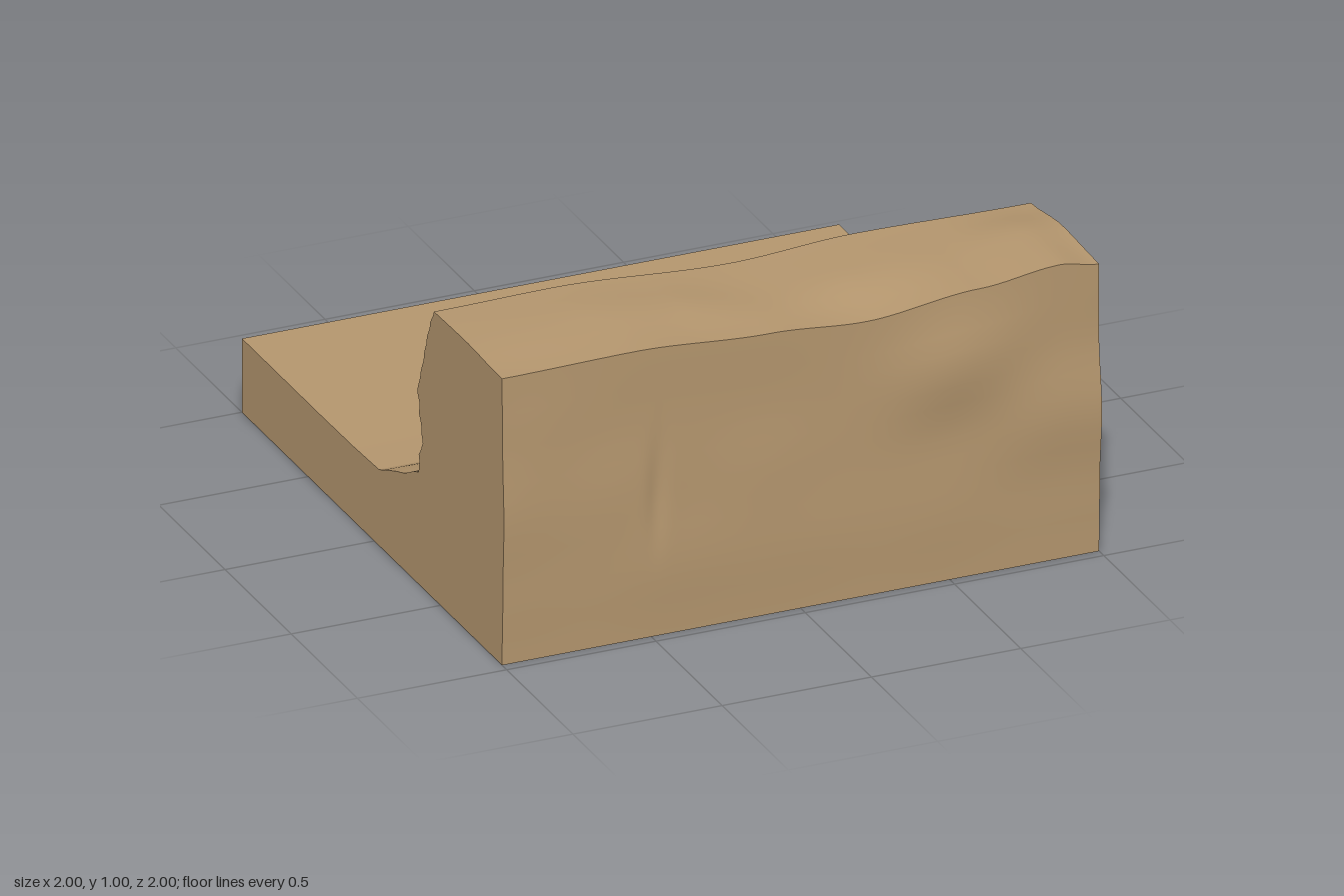
import * as THREE from 'three';

const COLS = 140;
const smooth = (t) => t * t * (3 - 2 * t);
const clamp01 = (t) => Math.min(1, Math.max(0, t));

// Smooth interpolation through a few [position, value] pairs
function curve(pairs, t) {
  if (t <= pairs[0][0]) return pairs[0][1];
  for (let i = 1; i < pairs.length; i++) {
    const [a, va] = pairs[i - 1], [b, vb] = pairs[i];
    if (t <= b) return va + (vb - va) * smooth((t - a) / (b - a));
  }
  return pairs[pairs.length - 1][1];
}
const bump = (t, centre, width) => Math.exp(-(((t - centre) / width) ** 2));
const window01 = (t, a, b, soft) =>
  smooth(clamp01((t - a) / soft)) * smooth(clamp01((b - t) / soft));
// Slow layered ripple running along x
const ripple = (x, s) =>
  0.5 * Math.sin(3.1 * x + s * 2.3) + 0.3 * Math.sin(7.3 * x + s * 4.1) + 0.2 * Math.sin(13.7 * x + s * 1.7);

// Plateau outlines: rear rim, middle and front rim heights
const ridge = (x) => curve([[-1, 0.98], [-0.6, 0.988], [-0.3, 0.972], [0, 0.95], [0.3, 0.972],
  [0.6, 0.97], [0.87, 0.998], [1, 0.985]], x);
const frontRim = (x) => curve([[-1, 0.972], [-0.55, 0.978], [-0.1, 0.952], [0.22, 0.93],
  [0.6, 0.968], [0.87, 0.997], [1, 0.975]], x);
const rearRim = (x) => curve([[-1, 0.975], [-0.6, 0.98], [0, 0.948], [0.4, 0.968], [1, 0.957]], x);

// Each section returns [z, y] points of one slice at x, ordered around the block
function frontSection(x) {
  const swell = [
    [0, 0.965],
    [0.25, 0.972 + 0.003 * ripple(x, 1)],
    [0.5, 0.972 + 0.008 * ripple(x, 2) + 0.012 * bump(x, 1, 0.3) - 0.012 * bump(x, -0.48, 0.03)],
    [0.76, 0.963 + 0.034 * bump(x, 0.52, 0.24) + 0.008 * bump(x, -0.9, 0.2)],
    [1, 0.965],
  ];
  const top = frontRim(x);
  return Array.from({ length: 17 }, (_, i) => {
    const t = i / 16;
    return [curve(swell, t), t * top];
  });
}

function plateauSection(x) {
  const a = frontRim(x), m = ridge(x), b = rearRim(x);
  return Array.from({ length: 11 }, (_, i) => {
    const t = i / 10;
    const wave = 0.004 * ripple(x, 3 + t * 2) * Math.sin(Math.PI * t);
    const y = t < 0.5 ? a + (m - a) * smooth(t * 2) : m + (b - m) * smooth(t * 2 - 1);
    return [0.965 + (0.45 - 0.965) * t, Math.min(1, y + wave)];
  });
}

const cliffBase = [[0.36, 0.335], [0.45, 0.352], [0.53, 0.358], [0.585, 0.352], [0.635, 0.33],
  [0.7, 0.347], [0.78, 0.37], [0.84, 0.392], [0.9, 0.42], [0.96, 0.45]];

function cliffSection(x) {
  const top = rearRim(x), foot = 0.372 + 0.01 * ripple(x, 5);
  const N = 48, points = [];
  for (let i = 0; i <= N; i++) {
    const t = i / N;
    const h = 0.96 + (0.36 - 0.96) * t;
    const y = top + (foot - top) * t;
    const fade = Math.min(1, t * 8) * Math.min(1, (1 - t) * 8);
    let z = curve(cliffBase, h) + fade * 0.009 * ripple(x, 6 + h * 5);
    // Upper ledge with a scalloped lip
    const upper = window01(x, -0.2, 0.95, 0.35);
    const upperTeeth = window01(x, -0.18, 0.62, 0.1) * Math.abs(Math.sin((x + 0.18) * 17));
    z -= fade * (0.026 * upper + 0.02 * upperTeeth) * bump(h, 0.86 + 0.02 * ripple(x, 1), 0.022);
    z += fade * 0.015 * upper * bump(h, 0.9, 0.02);
    // Lower ledges, also scalloped
    const lowerTeeth = window01(x, -0.72, 0.2, 0.1) * Math.abs(Math.sin((x + 0.72) * 17));
    z -= fade * (0.012 + 0.02 * lowerTeeth) * bump(h, 0.545 + 0.02 * ripple(x, 2), 0.022);
    z -= fade * 0.022 * window01(x, -1.3, 0.1, 0.4) * bump(h, 0.45 + 0.03 * x, 0.016);
    z += fade * 0.014 * window01(x, -1.3, 0.2, 0.4) * bump(h, 0.495 + 0.02 * x, 0.016);
    points.push([z, y]);
  }
  return points;
}

function screeSection(x) {
  const [z0, y0] = cliffSection(x).pop();
  const lip = 0.045 * window01(x, 0.42, 0.99, 0.16);
  const points = [];
  for (let i = 0; i <= 12; i++) {
    const t = i / 12;
    const y = y0 + (0.265 + lip - y0) * t;
    points.push([z0 + (0.055 - z0) * t, y + 0.008 * ripple(x, 2 + 3 * t) * Math.sin(Math.PI * t)]);
  }
  points.push([0.035, 0.258]);
  return points;
}

const floorSection = () => [[0.035, 0.258], [-0.15, 0.252], [-0.4, 0.25], [-1, 0.25]];
const backSection = () => [[-1, 0.25], [-1, 0]];
const baseSection = () => [[-1, 0], [0.965, 0]];

// Sweeps a section along x; normals stay smooth inside one strip
function sweep(section, cols = COLS) {
  const positions = [], index = [];
  let rows = 0;
  for (let c = 0; c <= cols; c++) {
    const x = -1 + (2 * c) / cols;
    const points = section(x);
    rows = points.length;
    for (const [z, y] of points) positions.push(x, y, z);
  }
  for (let c = 0; c < cols; c++) {
    for (let r = 0; r < rows - 1; r++) {
      const a = c * rows + r, b = a + rows;
      index.push(a, b, b + 1, a, b + 1, a + 1);
    }
  }
  const geometry = new THREE.BufferGeometry();
  geometry.setAttribute('position', new THREE.Float32BufferAttribute(positions, 3));
  geometry.setIndex(index);
  geometry.computeVertexNormals();
  return geometry;
}

// Flat cut face closing one end of the block
function endCap(x) {
  const sections = [frontSection, plateauSection, cliffSection, screeSection, floorSection, backSection];
  const outline = sections.flatMap((s, i) => (i ? s(x).slice(1) : s(x)));
  // Shape x is -z, so the default facing becomes +x after the turn
  const geometry = new THREE.ShapeGeometry(new THREE.Shape(outline.map(([z, y]) => new THREE.Vector2(-z, y))));
  geometry.rotateY(Math.PI / 2);
  if (x < 0) {
    const idx = geometry.index;
    for (let i = 0; i < idx.count; i += 3) {
      const a = idx.getX(i);
      idx.setX(i, idx.getX(i + 1));
      idx.setX(i + 1, a);
    }
    geometry.computeVertexNormals();
  }
  geometry.translate(x, 0, 0);
  return geometry;
}

export function createModel() {
  const sandstone = new THREE.MeshStandardMaterial({ color: 0xb4966e });
  sandstone.name = 'sandstone';
  const model = new THREE.Group();
  model.name = 'cliffBlock';
  const add = (name, geometry) => {
    const mesh = new THREE.Mesh(geometry, sandstone);
    mesh.name = name;
    model.add(mesh);
  };
  add('frontWall', sweep(frontSection));
  add('plateau', sweep(plateauSection));
  add('cliffFace', sweep(cliffSection));
  add('screeSlope', sweep(screeSection));
  add('lowerGround', sweep(floorSection, 1));
  add('backEdge', sweep(backSection, 1));
  add('underside', sweep(baseSection, 1));
  add('leftEnd', endCap(1));
  add('rightEnd', endCap(-1));
  return model;
}
